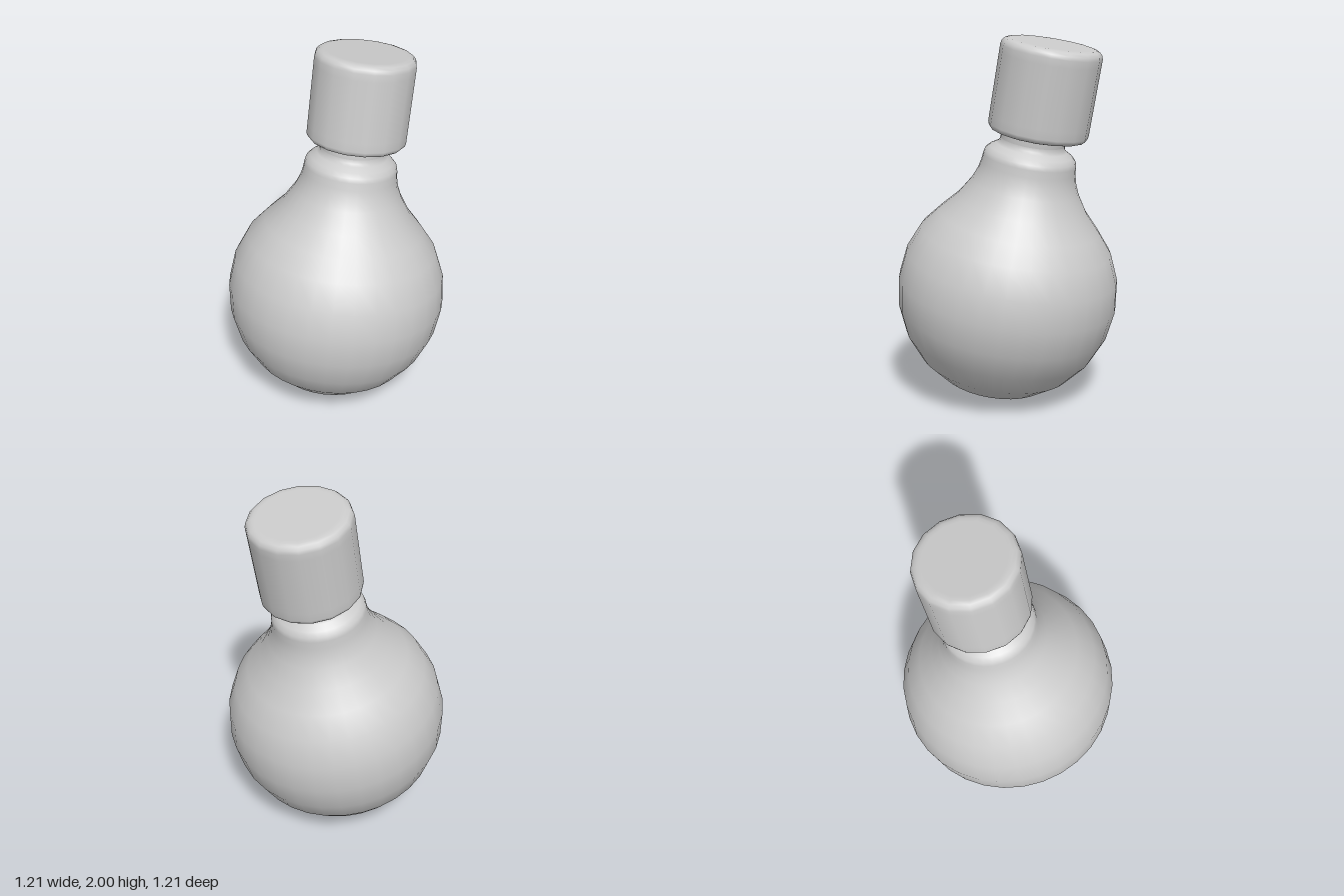
import * as THREE from 'three';

const material = new THREE.MeshStandardMaterial({ color: 0xcccccc, side: THREE.DoubleSide });

// Turned part from [radius, height] pairs
function turned(name, profile, sides) {
  const points = profile.map(([r, y]) => new THREE.Vector2(r, y));
  const mesh = new THREE.Mesh(new THREE.LatheGeometry(points, sides), material);
  mesh.name = name;
  return mesh;
}

// Quarter-round corner as [radius, height] pairs, angles in degrees
function corner(r, y, size, from, to, steps = 3) {
  return Array.from({ length: steps + 1 }, (_, i) => {
    const a = THREE.MathUtils.degToRad(from + (to - from) * i / steps);
    return [r + size * Math.cos(a), y + size * Math.sin(a)];
  });
}

export function createModel() {
  const model = new THREE.Group();
  model.name = 'flask';

  // Everything leans back about the centre of the round belly
  const leaning = new THREE.Group();
  leaning.name = 'leaningFlask';
  leaning.position.y = 0.605;
  leaning.rotation.x = THREE.MathUtils.degToRad(-10);
  model.add(leaning);

  // Round belly flowing into a flared shoulder
  const belly = corner(0, 0, 0.607, -90, 15, 7);
  belly[0][0] = 0;
  const shoulder = [
    [0.525, 0.3], [0.44, 0.405], [0.355, 0.5], [0.293, 0.6], [0.268, 0.66],
    [0.256, 0.71], [0.252, 0.75], [0.246, 0.775], [0.225, 0.797],
    [0.19, 0.818], [0.177, 0.83], [0.174, 0.85],
  ];
  leaning.add(turned('body', [...belly, ...shoulder], 32));

  // Narrow neck reaching up inside the cap
  leaning.add(turned('neck', [[0.174, 0.85], [0.174, 1.18], [0.165, 1.2], [0, 1.2]], 32));

  // Hollow cap: inner wall down, round the rim, outer wall up, over the top
  const cap = turned('cap', [
    [0, 1.3], [0.21, 1.3], [0.22, 1.29], [0.22, 0.93],
    ...corner(0.24, 0.913, 0.02, 180, 270),
    ...corner(0.24, 0.923, 0.03, -90, 0),
    [0.27, 0.97], [0.27, 1.3],
    ...corner(0.23, 1.338, 0.04, 0, 90),
    [0.21, 1.379], [0, 1.379],
  ], 16);
  cap.position.z = -0.02;
  leaning.add(cap);

  return model;
}
